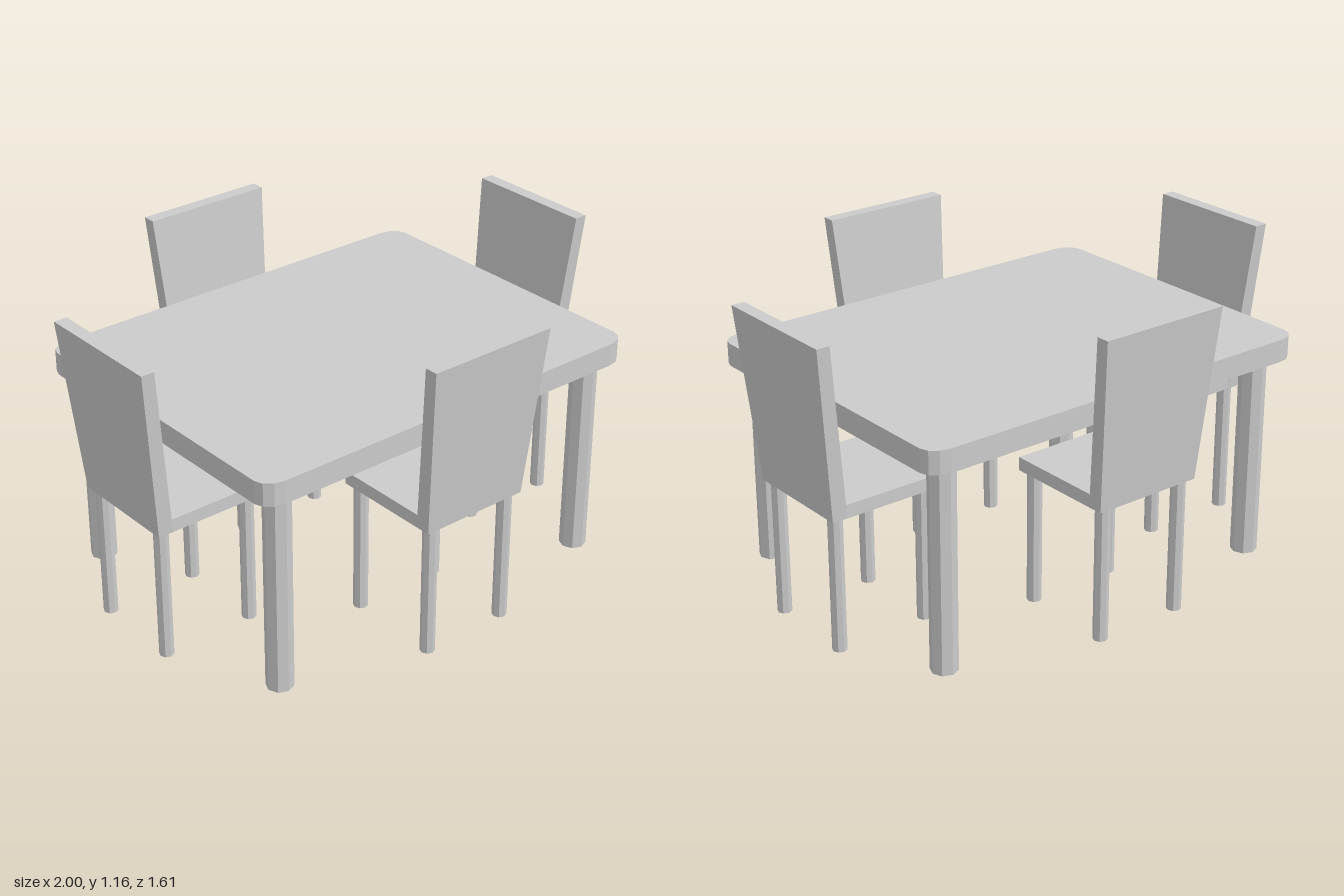
import * as THREE from 'three';

const material = new THREE.MeshStandardMaterial({ color: 0xcccccc, flatShading: true });

function addMesh(parent, name, geometry, x = 0, y = 0, z = 0) {
  const mesh = new THREE.Mesh(geometry, material);
  mesh.name = name;
  mesh.position.set(x, y, z);
  parent.add(mesh);
  return mesh;
}

// Eight-sided leg standing on the floor
function addLeg(parent, name, radius, height, x, z) {
  addMesh(parent, name, new THREE.CylinderGeometry(radius, radius, height, 8), x, height / 2, z);
}

// Table top: rectangle with softly cut corners
function tableTopGeometry(halfX, halfZ, cornerX, cornerZ, thickness) {
  const points = [];
  const steps = 3;
  for (let corner = 0; corner < 4; corner++) {
    const sx = corner === 0 || corner === 3 ? 1 : -1;
    const sz = corner < 2 ? 1 : -1;
    for (let i = 0; i <= steps; i++) {
      const a = (corner + i / steps) * Math.PI / 2;
      points.push(new THREE.Vector2(
        sx * (halfX - cornerX) + cornerX * Math.cos(a),
        sz * (halfZ - cornerZ) + cornerZ * Math.sin(a)));
    }
  }
  return new THREE.ExtrudeGeometry(new THREE.Shape(points), { depth: thickness, bevelEnabled: false })
    .rotateX(-Math.PI / 2);
}

function createTable() {
  const table = new THREE.Group();
  table.name = 'table';
  addMesh(table, 'tableTop', tableTopGeometry(0.82, 0.633, 0.08, 0.062, 0.086), -0.004, 0.78, -0.002);
  for (const x of [-0.71, 0.702])
    for (const z of [-0.533, 0.537]) addLeg(table, 'tableLeg', 0.05, 0.78, x, z);
  return table;
}

// Backrest: a slab that leans outward and widens toward the top
function backrestGeometry() {
  const geometry = new THREE.BoxGeometry(1, 1, 1);
  const p = geometry.attributes.position;
  for (let i = 0; i < p.count; i++) {
    const top = p.getY(i) > 0, outer = p.getZ(i) > 0;
    p.setXYZ(i,
      Math.sign(p.getX(i)) * (top ? 0.254 : 0.215),
      top ? 1.157 : 0.51,
      top ? (outer ? 0.805 : 0.755) : (outer ? 0.743 : 0.685));
  }
  geometry.computeVertexNormals();
  return geometry;
}

// Chair with its backrest toward +z
function createChair(name) {
  const chair = new THREE.Group();
  chair.name = name;
  addMesh(chair, 'seat', new THREE.BoxGeometry(0.43, 0.05, 0.38), 0, 0.535, 0.5);
  addMesh(chair, 'backrest', backrestGeometry());
  for (const x of [-0.173, 0.173])
    for (const z of [0.346, 0.707]) addLeg(chair, 'chairLeg', 0.027, 0.51, x, z);
  return chair;
}

export function createModel() {
  const model = new THREE.Group();
  model.name = 'diningSet';
  model.add(createTable());

  // One chair on each side: name, turn, x, z
  const chairs = [
    ['frontChair', 0, -0.016, 0],
    ['backChair', Math.PI, -0.016, 0],
    ['leftChair', Math.PI / 2, 0.195, -0.03],
    ['rightChair', -Math.PI / 2, -0.195, -0.03],
  ];
  for (const [name, turn, x, z] of chairs) {
    const chair = createChair(name);
    chair.rotation.y = turn;
    chair.position.set(x, 0, z);
    model.add(chair);
  }
  return model;
}
